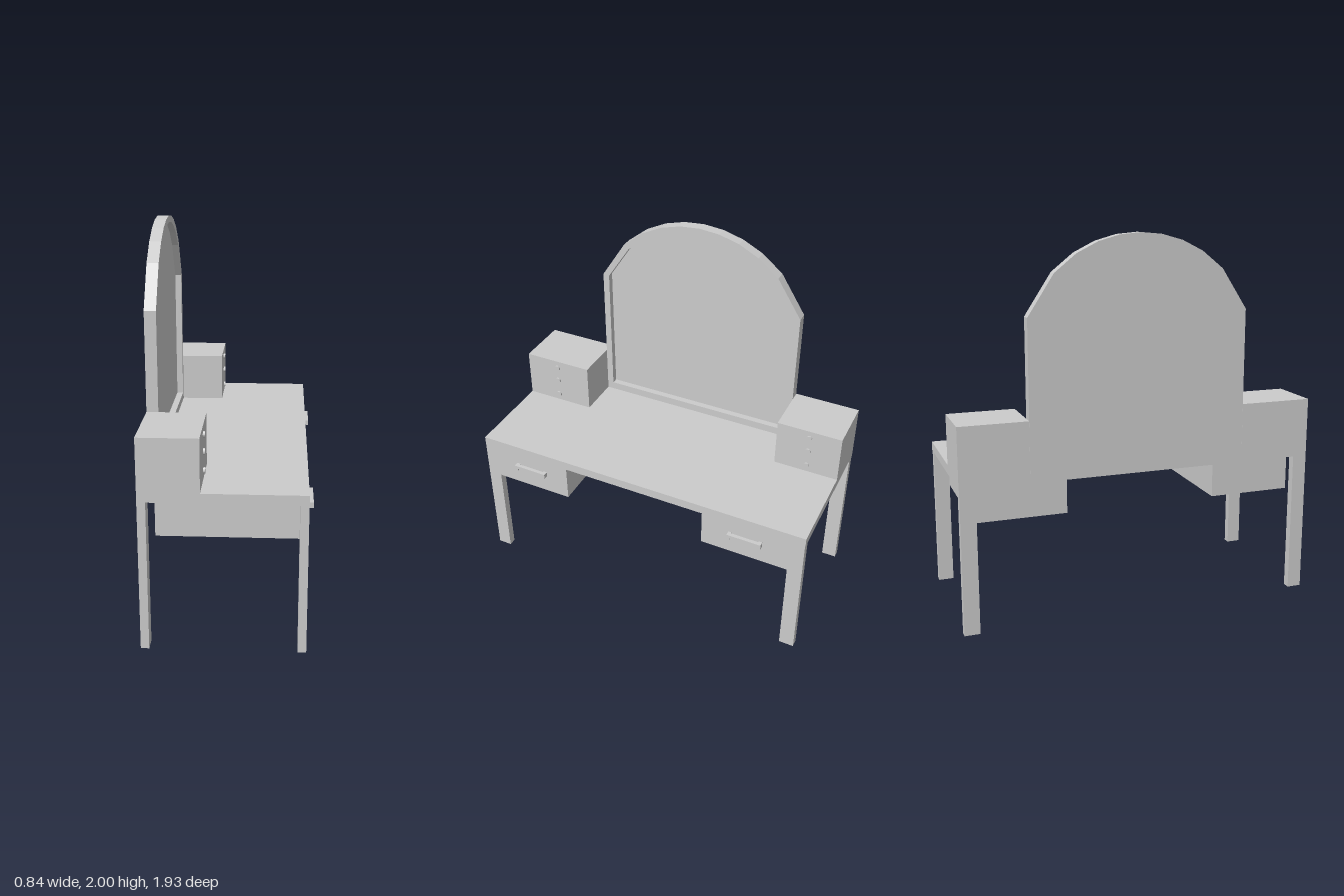
import * as THREE from 'three';

const material = new THREE.MeshStandardMaterial({ color: 0xcccccc, flatShading: true });

export function createModel() {
  const model = new THREE.Group();
  model.name = 'dressingTable';

  const add = (name, geometry, parent = model) => {
    const mesh = new THREE.Mesh(geometry, material);
    mesh.name = name;
    parent.add(mesh);
    return mesh;
  };
  // Box given by its limits on each axis
  const box = (name, x0, x1, y0, y1, z0, z1, parent) => {
    const mesh = add(name, new THREE.BoxGeometry(x1 - x0, y1 - y0, z1 - z0), parent);
    mesh.position.set((x0 + x1) / 2, (y0 + y1) / 2, (z0 + z1) / 2);
    return mesh;
  };

  // Table top
  box('tableTop', -0.42, 0.39, 0.77, 0.82, -0.966, 0.968);

  // Legs
  for (const [z0, z1] of [[0.89, 0.968], [-0.964, -0.882]]) {
    box('frontLeg', 0.348, 0.39, 0, 0.77, z0, z1);
    box('backLeg', -0.42, -0.378, 0, 0.77, z0, z1);
  }

  // Drawers under the top, each with a bar handle on two posts
  for (const d of [
    { z0: 0.435, z1: 0.89, h0: 0.567, h1: 0.763 },
    { z0: -0.882, z1: -0.392, h0: -0.737, h1: -0.546 },
  ]) {
    box('drawer', -0.345, 0.39, 0.567, 0.77, d.z0, d.z1);
    const handle = new THREE.Group();
    handle.name = 'drawerHandle';
    box('handleBar', 0.397, 0.417, 0.685, 0.703, d.h0, d.h1, handle);
    box('handlePost', 0.39, 0.417, 0.674, 0.703, d.h0, d.h0 + 0.02, handle);
    box('handlePost', 0.39, 0.417, 0.674, 0.703, d.h1 - 0.02, d.h1, handle);
    model.add(handle);
  }

  // Small cabinets beside the mirror, with three round knobs each
  for (const c of [
    { z0: 0.57, z1: 0.968, knob: 0.772 },
    { z0: -0.966, z1: -0.605, knob: -0.788 },
  ]) {
    box('sideCabinet', -0.42, -0.12, 0.82, 1.09, c.z0, c.z1);
    for (const y of [0.863, 0.96, 1.047]) {
      const knob = add('cabinetKnob', new THREE.CylinderGeometry(0.016, 0.016, 0.01, 12));
      knob.rotation.z = Math.PI / 2;
      knob.position.set(-0.115, y, c.knob);
    }
  }

  // Arched outline: straight sides closed by a faceted circular arc
  const arch = (half, radius, bottom) => {
    const steps = [-1, -0.765, -0.57, -0.38, -0.19, 0, 0.19, 0.38, 0.57, 0.765, 1];
    const arc = steps.map((s) => new THREE.Vector2(
      -s * half, 1.369 + Math.sqrt(radius ** 2 - (s * half) ** 2)));
    return [new THREE.Vector2(-half, bottom), new THREE.Vector2(half, bottom), ...arc];
  };
  const extrude = (name, shape, depth) => {
    const mesh = add(name, new THREE.ExtrudeGeometry(shape, { depth, bevelEnabled: false }));
    mesh.rotation.y = Math.PI / 2;
    mesh.position.set(-0.42, 0, -0.0175);
  };

  // Mirror frame with the glass set back inside it
  const inner = arch(0.551, 0.596, 0.864);
  const frame = new THREE.Shape(arch(0.587, 0.631, 0.82));
  frame.holes.push(new THREE.Path(inner));
  extrude('mirrorFrame', frame, 0.06);
  extrude('mirrorGlass', new THREE.Shape(inner), 0.025);

  return model;
}
